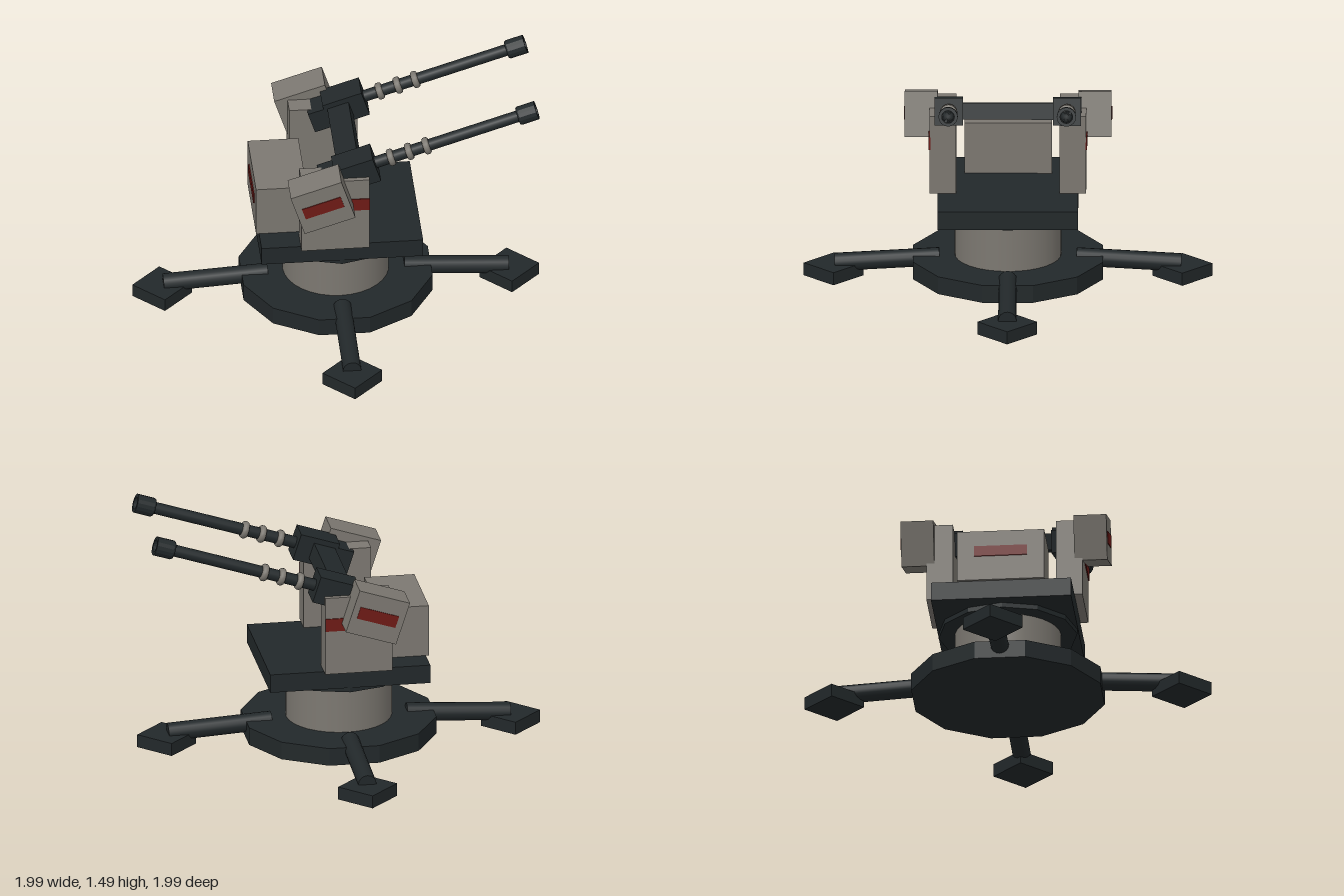
import * as THREE from 'three';

const mat = (color, flatShading = false) => new THREE.MeshStandardMaterial({ color, flatShading });
const dark = mat(0x22282a, true);
const darkSmooth = mat(0x22282a);
const grey = mat(0x7c7871, true);
const greySmooth = mat(0x7c7871);
const red = mat(0x6e1a16, true);

function add(parent, name, geometry, material, x = 0, y = 0, z = 0) {
  const mesh = new THREE.Mesh(geometry, material);
  mesh.name = name;
  mesh.position.set(x, y, z);
  parent.add(mesh);
  return mesh;
}

// Box given by its ranges along each axis
function box(parent, name, material, [x0, x1], [y0, y1], [z0, z1]) {
  return add(parent, name, new THREE.BoxGeometry(x1 - x0, y1 - y0, z1 - z0), material,
    (x0 + x1) / 2, (y0 + y1) / 2, (z0 + z1) / 2);
}

// Upright disc between two heights
function disc(parent, name, material, r, y0, y1, sides) {
  return add(parent, name, new THREE.CylinderGeometry(r, r, y1 - y0, sides), material, 0, (y0 + y1) / 2, 0);
}

// Round part along z, turned from [radius, z] points
function turned(parent, name, material, points, sides = 16) {
  const geometry = new THREE.LatheGeometry(points.map(([r, z]) => new THREE.Vector2(r, z)), sides);
  geometry.rotateX(Math.PI / 2);
  return add(parent, name, geometry, material);
}

// Range mirrored to the given side
const side = (s, a, b) => (s > 0 ? [a, b] : [-b, -a]);

function makeBase() {
  const base = new THREE.Group();
  base.name = 'base';
  disc(base, 'baseDisc', dark, 0.59, 0.03, 0.14, 12);
  disc(base, 'column', greySmooth, 0.32, 0.14, 0.44, 32);

  // Four sloping legs with square feet
  for (const sx of [-1, 1]) for (const sz of [-1, 1]) {
    box(base, 'foot', dark, side(sx, 0.613, 0.867), [0, 0.08], side(sz, 0.613, 0.867));
    const inner = new THREE.Vector3(0.29 * sx, 0.122, 0.29 * sz);
    const outer = new THREE.Vector3(0.735 * sx, 0.085, 0.735 * sz);
    const dir = outer.clone().sub(inner);
    const leg = add(base, 'leg', new THREE.CylinderGeometry(0.055, 0.055, dir.length(), 16), darkSmooth);
    leg.position.copy(inner).lerp(outer, 0.5);
    leg.quaternion.setFromUnitVectors(new THREE.Vector3(0, 1, 0), dir.normalize());
  }
  return base;
}

function makeGun(s) {
  const gun = new THREE.Group();
  gun.name = s > 0 ? 'leftGun' : 'rightGun';
  gun.position.x = 0.355 * s;

  // Stepped cradle
  box(gun, 'cradle', dark, [-0.085, 0.085], [-0.083, 0.083], [-0.03, 0.217]);
  box(gun, 'cradleRear', dark, [-0.085, 0.085], [-0.083, 0.055], [-0.13, -0.03]);

  // Ammunition box on the outer side, with its red stripe
  box(gun, 'ammoBox', grey, side(s, 0.067, 0.265), [-0.157, 0.117], [-0.309, 0.012]);
  box(gun, 'ammoStripe', red, side(s, 0.26, 0.27), [-0.055, 0.02], [-0.27, -0.025]);

  // Barrel, collars and hollow muzzle
  turned(gun, 'barrel', darkSmooth, [[0, 0.2], [0.036, 0.2], [0.036, 1.19], [0, 1.19]]);
  for (const z of [0.315, 0.43, 0.54]) {
    turned(gun, 'collar', greySmooth,
      [[0.034, z - 0.02], [0.046, z - 0.018], [0.053, z - 0.008], [0.053, z + 0.008], [0.046, z + 0.018], [0.034, z + 0.02]]);
  }
  turned(gun, 'muzzle', dark,
    [[0, 1.12], [0.052, 1.12], [0.058, 1.13], [0.058, 1.238], [0.038, 1.238], [0.038, 1.19], [0, 1.19]]);
  return gun;
}

function makeTurret() {
  const turret = new THREE.Group();
  turret.name = 'turret';
  disc(turret, 'turntable', dark, 0.418, 0.435, 0.47, 12);
  box(turret, 'platform', dark, [-0.422, 0.422], [0.465, 0.58], [-0.487, 0.487]);

  // Rear housing
  box(turret, 'rearHousing', grey, [-0.262, 0.262], [0.58, 0.9], [-0.505, -0.2]);
  box(turret, 'rearStripe', red, [-0.16, 0.16], [0.735, 0.8], [-0.512, -0.5]);

  // Side pillars with a red band on the outer face
  for (const s of [-1, 1]) {
    box(turret, 'pillar', grey, side(s, 0.31, 0.47), [0.58, 1.07], [-0.25, 0.16]);
    box(turret, 'pillarBand', red, side(s, 0.465, 0.476), [0.857, 0.937], [-0.25, 0.16]);
  }

  // Guns and crossbeam tilt up together
  const guns = new THREE.Group();
  guns.name = 'gunAssembly';
  guns.position.y = 1.05;
  guns.rotation.x = -THREE.MathUtils.degToRad(18);
  guns.add(makeGun(1), makeGun(-1));
  box(guns, 'crossbeam', dark, [-0.3, 0.3], [-0.05, 0.05], [-0.01, 0.125]);
  turret.add(guns);
  return turret;
}

export function createModel() {
  const model = new THREE.Group();
  model.name = 'twinGunTurret';
  const turret = makeTurret();
  turret.rotation.y = Math.PI / 4;
  const body = new THREE.Group();
  body.name = 'body';
  body.position.set(-0.13, 0, -0.13);
  body.add(makeBase(), turret);
  model.add(body);
  return model;
}
